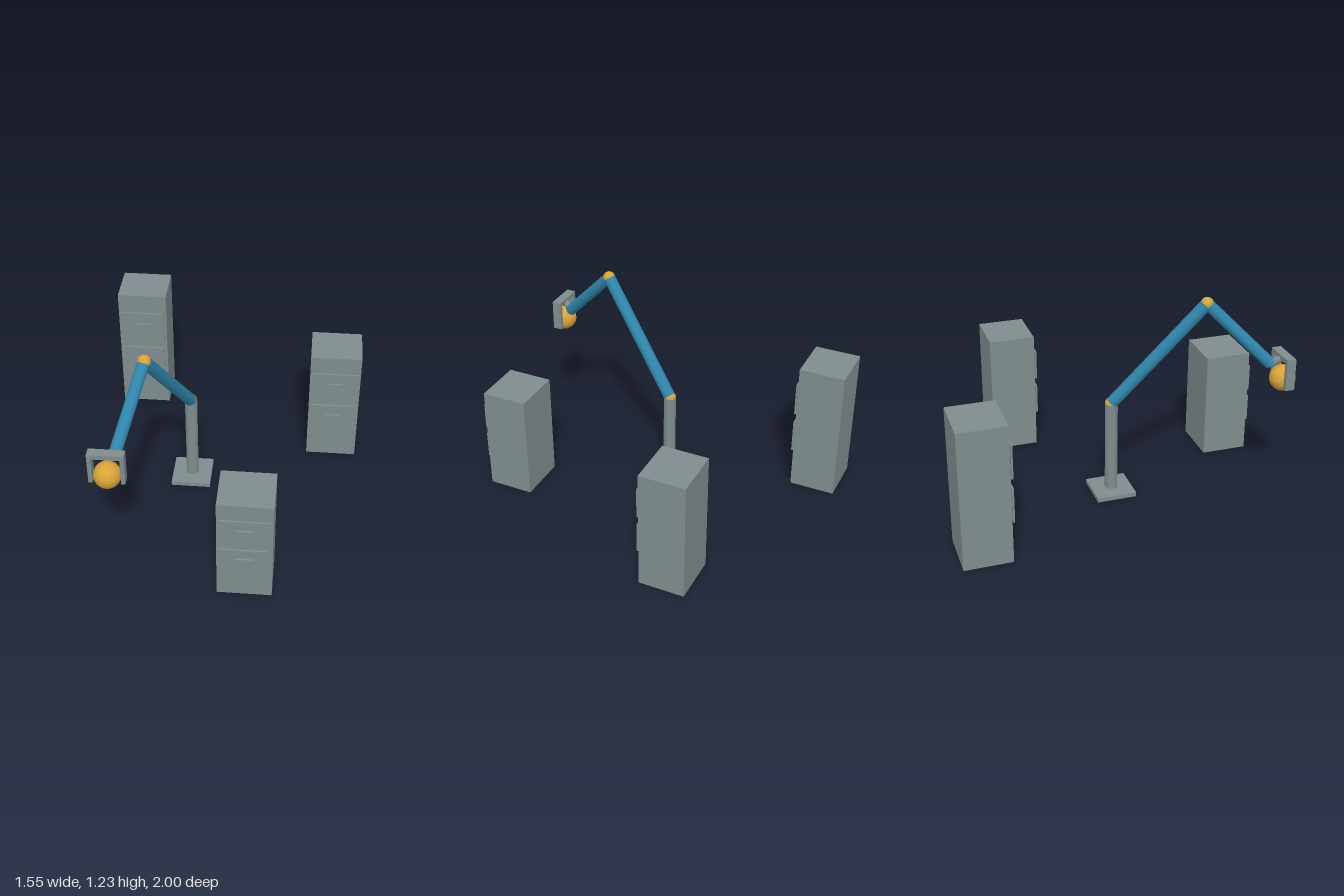
import * as THREE from 'three';

const material = (name, color, flatShading = false) => {
  const m = new THREE.MeshStandardMaterial({ color, flatShading });
  m.name = name;
  return m;
};

export function createModel() {
  const root = new THREE.Group();
  root.name = 'robotArmWithCabinets';

  const grey = material('steelGrey', 0x7f8c8d, true);
  const blue = material('armBlue', 0x2e86ab, true);
  const gold = material('jointGold', 0xd9a436, true);

  const add = (parent, name, geometry, mat, x, y, z) => {
    const mesh = new THREE.Mesh(geometry, mat);
    mesh.name = name;
    mesh.position.set(x, y, z);
    parent.add(mesh);
    return mesh;
  };
  const box = (parent, name, w, h, d, x, y, z) =>
    add(parent, name, new THREE.BoxGeometry(w, h, d), grey, x, y, z);
  const ball = (parent, name, r, p) =>
    add(parent, name, new THREE.SphereGeometry(r, 16, 12), gold, p.x, p.y, p.z);

  // Round bar running from a to b
  const bar = (parent, name, r, a, b, mat) => {
    const dir = b.clone().sub(a);
    const mid = a.clone().add(b).multiplyScalar(0.5);
    const mesh = add(parent, name, new THREE.CylinderGeometry(r, r, dir.length(), 20), mat, mid.x, mid.y, mid.z);
    mesh.quaternion.setFromUnitVectors(new THREE.Vector3(0, 1, 0), dir.normalize());
  };

  // Filing cabinets: x centre, back z and height; drawers scale with height
  const depth = 0.275;
  const cabinets = [[-0.622, -1, 0.822], [0.62, -0.547, 0.735], [0.167, 0.695, 0.65]];
  for (const [x, back, h] of cabinets) {
    const cabinet = new THREE.Group();
    cabinet.name = 'filingCabinet';
    cabinet.position.set(x, 0, back);
    root.add(cabinet);
    box(cabinet, 'cabinetBody', 0.305, h, depth, 0, h / 2, depth / 2);
    for (const level of [0.41, 0.73]) {
      box(cabinet, 'drawerFront', 0.27, h * 0.25, 0.01, 0, h * level, depth + 0.013);
      box(cabinet, 'drawerHandle', 0.09, 0.014, 0.012, 0, h * (level + 0.025), depth + 0.024);
    }
  }

  // Robot arm
  const arm = new THREE.Group();
  arm.name = 'robotArm';
  root.add(arm);
  const foot = new THREE.Vector3(-0.228, 0.02, 0);
  const shoulder = new THREE.Vector3(-0.228, 0.575, 0);
  const elbow = new THREE.Vector3(-0.406, 1.195, 0.49);
  const wrist = new THREE.Vector3(-0.526, 0.838, 0.837);
  const grip = new THREE.Vector3(-0.557, 0.885, 0.9);

  box(arm, 'basePlate', 0.235, 0.026, 0.235, foot.x, 0.013, 0);
  bar(arm, 'column', 0.037, foot, shoulder, grey);
  bar(arm, 'upperArm', 0.036, shoulder, elbow, blue);
  bar(arm, 'forearm', 0.034, elbow, wrist, blue);
  bar(arm, 'wristRod', 0.02, wrist, grip, grey);
  ball(arm, 'shoulderJoint', 0.037, shoulder);
  ball(arm, 'elbowJoint', 0.037, elbow);

  // Gripper bracket holding the ball
  const gripper = new THREE.Group();
  gripper.name = 'gripper';
  gripper.position.set(grip.x, 0, 0.902);
  arm.add(gripper);
  box(gripper, 'gripperBridge', 0.195, 0.027, 0.055, 0, 0.8915, 0);
  for (const side of [-1, 1]) {
    box(gripper, 'gripperFinger', 0.023, 0.16, 0.055, side * 0.086, 0.8, 0);
  }
  ball(gripper, 'heldBall', 0.075, new THREE.Vector3(0, 0.757, 0));

  return root;
}
